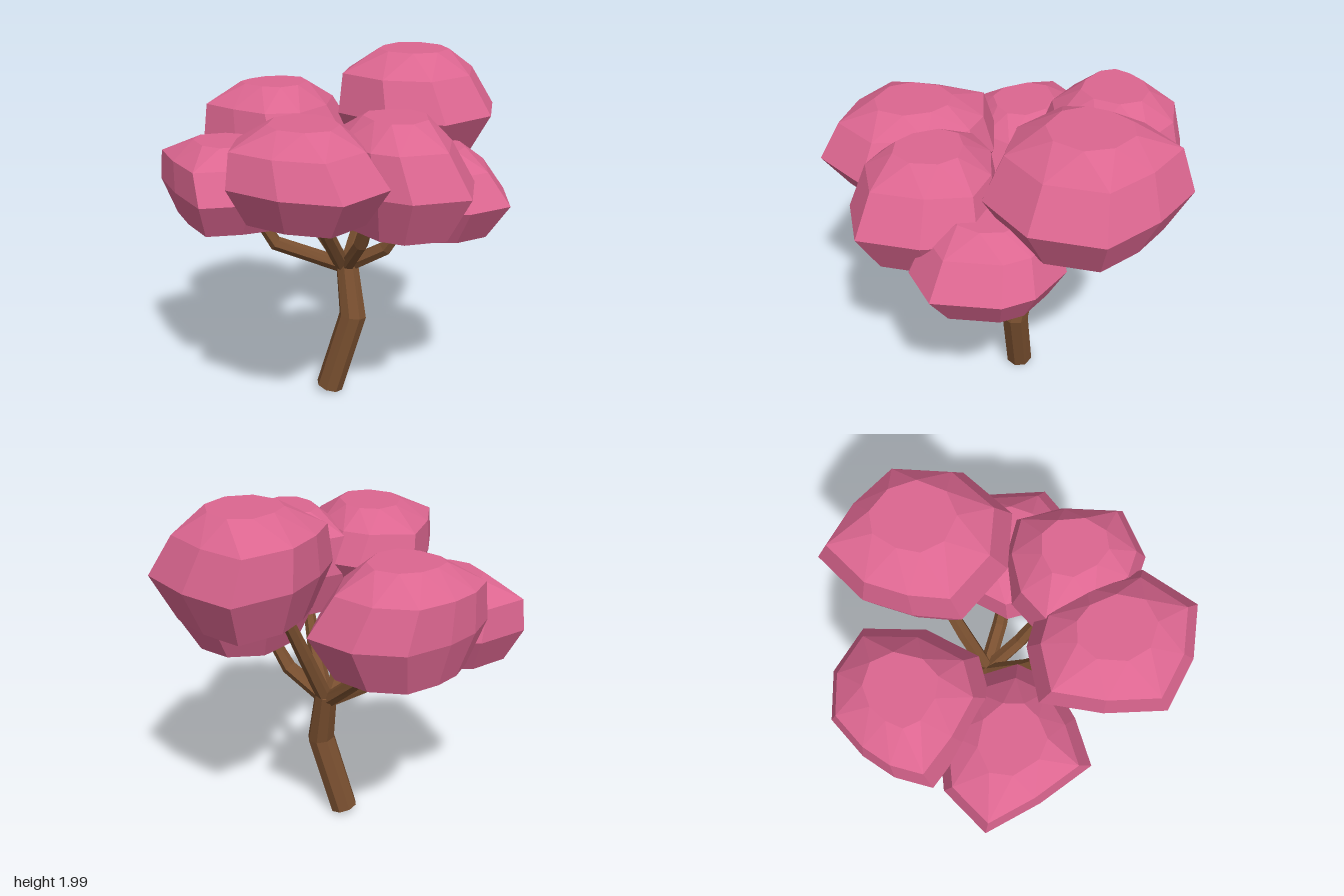
import * as THREE from 'three';
import { ConvexGeometry } from 'three/addons/geometries/ConvexGeometry.js';

const bark = new THREE.MeshStandardMaterial({ color: 0x7a5030 });
bark.name = 'bark brown';
const blossom = new THREE.MeshStandardMaterial({ color: 0xdc6690 });
blossom.name = 'blossom pink';

// Faceted, tapering limb swept along a bent path of [x, y, z] points
function limb(name, path, radii, sides = 7) {
  const pts = path.map((p) => new THREE.Vector3(...p));
  const rings = pts.map((p, i) => {
    const a = pts[Math.max(i - 1, 0)];
    const b = pts[Math.min(i + 1, pts.length - 1)];
    const t = b.clone().sub(a).normalize();
    const u = new THREE.Vector3(0, 0, 1).addScaledVector(t, -t.z).normalize();
    const v = new THREE.Vector3().crossVectors(t, u);
    return Array.from({ length: sides }, (_, k) => {
      const ang = (k / sides) * Math.PI * 2;
      return p.clone()
        .addScaledVector(u, Math.cos(ang) * radii[i])
        .addScaledVector(v, Math.sin(ang) * radii[i]);
    });
  });
  const tris = [];
  const last = rings.length - 1;
  for (let k = 0; k < sides; k++) {
    const n = (k + 1) % sides;
    for (let i = 0; i < last; i++) {
      const [a, b, c, d] = [rings[i][k], rings[i][n], rings[i + 1][n], rings[i + 1][k]];
      tris.push(a, b, c, a, c, d);
    }
    tris.push(pts[0], rings[0][n], rings[0][k]);
    tris.push(pts[last], rings[last][k], rings[last][n]);
  }
  const geo = new THREE.BufferGeometry().setFromPoints(tris);
  geo.computeVertexNormals();
  const mesh = new THREE.Mesh(geo, bark);
  mesh.name = name;
  return mesh;
}

// Flat-bottomed faceted clump: its widest outline [x, z] is scaled into four levels
function clump(name, y0, y1, outline) {
  const xs = outline.map((p) => p[0]);
  const zs = outline.map((p) => p[1]);
  const cx = (Math.min(...xs) + Math.max(...xs)) / 2;
  const cz = (Math.min(...zs) + Math.max(...zs)) / 2;
  const levels = [ // height fraction, scale, sideways shift
    [0, 0.74, -0.02],
    [0.42, 1, 0],
    [0.79, 0.83, -0.06],
    [1, 0.47, -0.04],
  ];
  const pts = [];
  for (const [h, s, dx] of levels) {
    outline.forEach(([x, z], i) => {
      // the crown ring is turned half a step to break up the facets
      const [x2, z2] = h === 1 ? outline[(i + 1) % outline.length] : [x, z];
      pts.push(new THREE.Vector3(
        cx + dx + ((x + x2) / 2 - cx) * s,
        y0 + (y1 - y0) * h,
        cz + ((z + z2) / 2 - cz) * s,
      ));
    });
  }
  const mesh = new THREE.Mesh(new ConvexGeometry(pts), blossom);
  mesh.name = name;
  return mesh;
}

export function createModel() {
  const tree = new THREE.Group();
  tree.name = 'blossomTree';

  // Bent trunk
  tree.add(limb('trunk',
    [[-0.02, 0.03, -0.02], [0.115, 0.5, -0.04], [0.06, 0.82, -0.1]],
    [0.08, 0.08, 0.065], 8));

  // Branches, each ending inside its clump
  const branches = {
    frontBranch: [[0.04, 0.78, -0.09], [0.01, 1.05, 0.14], [0.01, 1.36, 0.36]],
    frontLeftBranch: [[0.06, 0.78, -0.09], [0.19, 0.99, 0.08], [0.28, 1.25, 0.2]],
    leftBranch: [[0.05, 0.78, -0.1], [0.3, 0.93, -0.06], [0.45, 1.16, -0.04]],
    backLeftBranch: [[0.06, 0.78, -0.1], [0.13, 1.1, -0.24], [0.22, 1.48, -0.4]],
    backRightBranch: [[0.05, 0.78, -0.1], [-0.2, 1.02, -0.24], [-0.32, 1.26, -0.36]],
    rightBranch: [[0.05, 0.78, -0.1], [-0.32, 0.94, 0.06], [-0.45, 1.16, 0.1]],
  };
  for (const [name, path] of Object.entries(branches)) {
    tree.add(limb(name, path, [0.045, 0.042, 0.03], 6));
  }

  // Blossom clumps
  tree.add(
    clump('backLeftClump', 1.42, 2, [[0.2, -1], [0.5, -0.9], [0.78, -0.72], [0.82, -0.35],
      [0.62, -0.05], [0.3, -0.02], [-0.02, -0.2], [-0.04, -0.45], [0, -0.72]]),
    clump('backRightClump', 1.2, 1.78, [[-0.33, -0.83], [-0.07, -0.73], [-0.02, -0.4], [-0.12, -0.1],
      [-0.34, 0], [-0.6, -0.08], [-0.85, -0.2], [-0.83, -0.4], [-0.75, -0.58], [-0.59, -0.78]]),
    clump('rightClump', 1.09, 1.55, [[-1, 0.09], [-0.82, -0.16], [-0.5, -0.25], [-0.2, -0.15],
      [-0.07, 0.1], [-0.13, 0.3], [-0.32, 0.45], [-0.56, 0.57], [-0.8, 0.34]]),
    clump('leftClump', 1.09, 1.55, [[1, 0.08], [0.92, -0.26], [0.8, -0.39], [0.55, -0.47],
      [0.3, -0.35], [0.18, 0], [0.3, 0.25], [0.55, 0.34], [0.82, 0.27]]),
    clump('frontLeftClump', 1.2, 1.78, [[0.05, 0.2], [0.2, 0.02], [0.45, -0.08], [0.7, -0.06],
      [0.82, 0.2], [0.86, 0.53], [0.6, 0.69], [0.42, 0.66], [0.18, 0.48]]),
    clump('frontClump', 1.31, 1.78, [[-0.34, 0.25], [-0.05, 0.14], [0.14, 0.16], [0.36, 0.36],
      [0.49, 0.68], [0.34, 0.99], [0.03, 1], [-0.27, 0.9], [-0.34, 0.58]]),
  );
  return tree;
}
